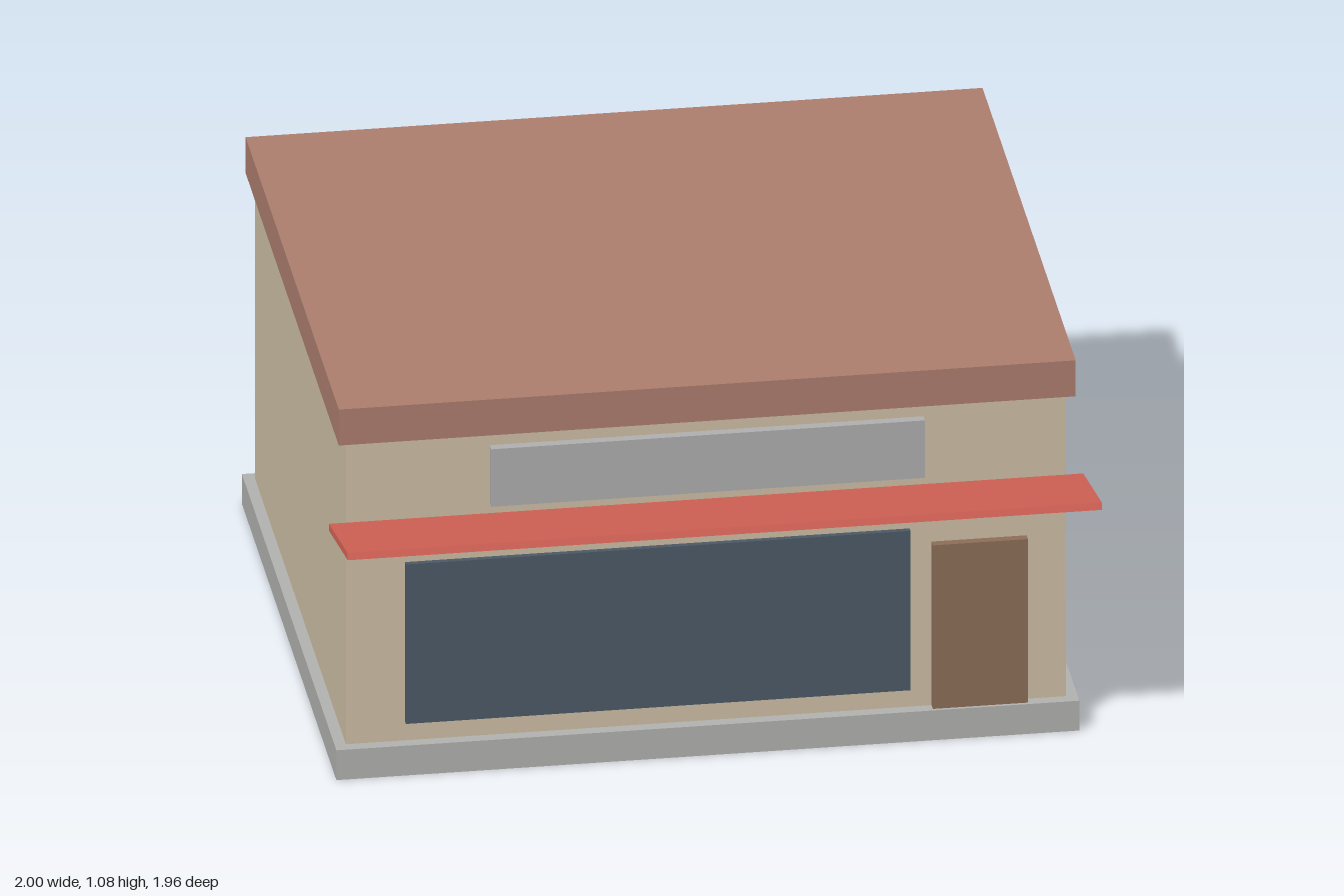
import * as THREE from 'three';

const material = (color) => new THREE.MeshStandardMaterial({ color });

export function createModel() {
  const shop = new THREE.Group();
  shop.name = 'shop';

  const concrete = material(0xb4b4b2);
  const plaster = material(0xd2c3a8);
  const roofing = material(0xb08070);
  const glass = material(0x4d5b68);
  const wood = material(0x8f705a);
  const red = material(0xdc6658);
  const grey = material(0xb2b2b2);

  // Box given by its [min, max] extent on each axis
  function block(name, x, y, z, mat, parent = shop) {
    const geometry = new THREE.BoxGeometry(x[1] - x[0], y[1] - y[0], z[1] - z[0]);
    const mesh = new THREE.Mesh(geometry, mat);
    mesh.position.set((x[0] + x[1]) / 2, (y[0] + y[1]) / 2, (z[0] + z[1]) / 2);
    mesh.name = name;
    parent.add(mesh);
    return mesh;
  }

  // Main building
  block('foundation', [-0.985, 0.985], [0, 0.087], [-0.98, 0.677], concrete);
  block('walls', [-0.955, 0.955], [0.087, 0.972], [-0.947, 0.645], plaster);
  block('roof', [-0.977, 0.977], [0.972, 1.077], [-0.968, 0.666], roofing);

  // Shop front
  block('shopWindow', [-0.798, 0.54], [0.142, 0.608], [0.64, 0.66], glass);
  block('door', [0.598, 0.85], [0.087, 0.565], [0.64, 0.668], wood);
  block('signBoard', [-0.575, 0.575], [0.77, 0.938], [0.655, 0.68], grey);

  // Awning, rising outwards from the wall
  const awning = block('awning', [-1, 1], [0.7525, 0.7725], [0.6445, 0.9785], red);
  awning.rotation.x = -0.223;

  // Window in the left wall
  const sideWindow = new THREE.Group();
  sideWindow.name = 'sideWindow';
  shop.add(sideWindow);
  block('sideGlass', [0.95, 0.963], [0.328, 0.61], [-0.255, -0.043], glass, sideWindow);
  block('mullion', [0.95, 0.966], [0.328, 0.61], [-0.155, -0.145], grey, sideWindow);
  block('sill', [0.95, 0.969], [0.315, 0.33], [-0.267, -0.031], grey, sideWindow);
  block('lintel', [0.95, 0.969], [0.608, 0.621], [-0.267, -0.031], grey, sideWindow);

  return shop;
}
